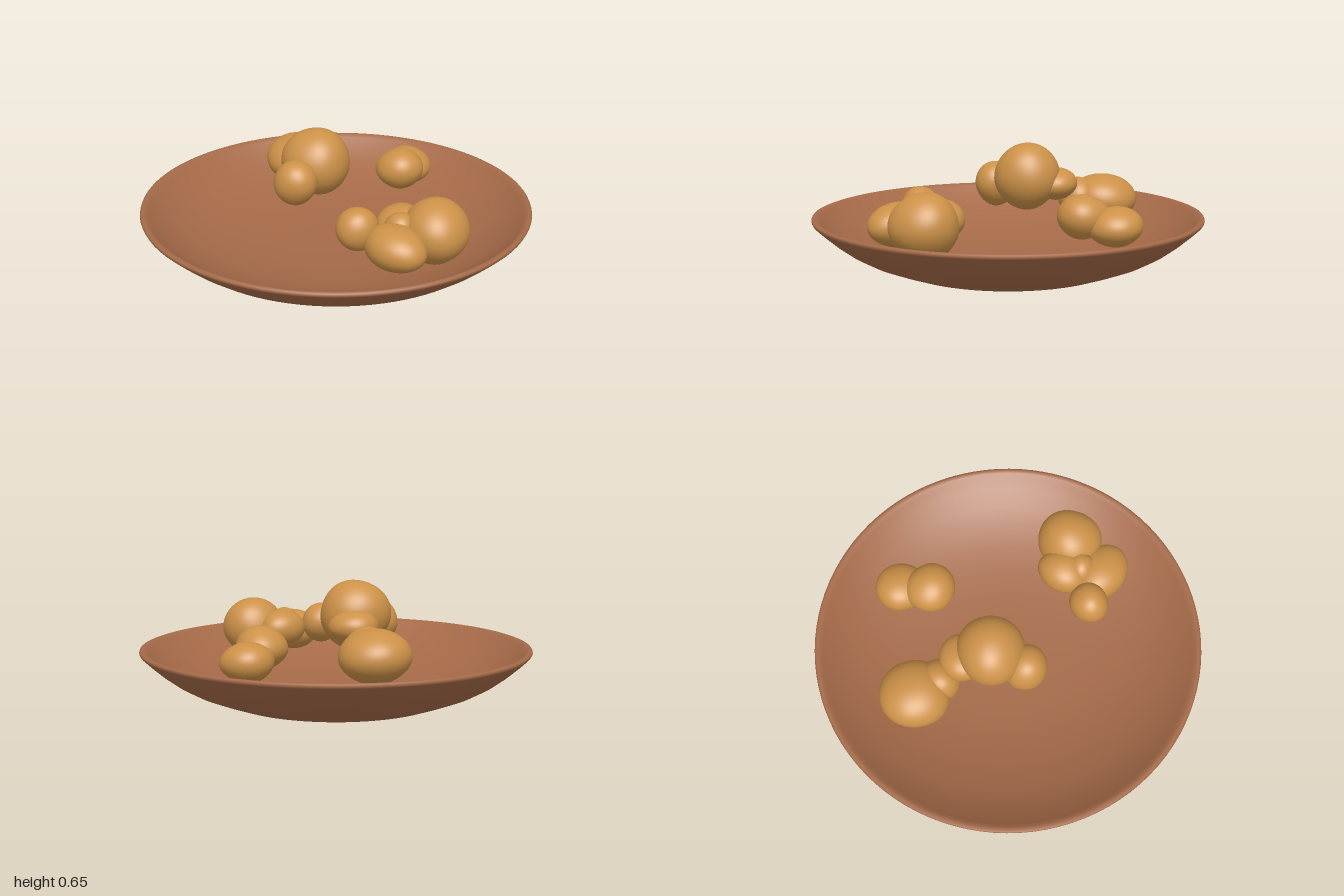
import * as THREE from 'three';
import { mergeVertices } from 'three/addons/utils/BufferGeometryUtils.js';

const clay = new THREE.MeshStandardMaterial({ color: 0xa56a48 });
clay.name = 'clay brown';
const gold = new THREE.MeshStandardMaterial({ color: 0xcc9148 });
gold.name = 'golden brown';

// Smooth round lump, gently uneven and narrower towards its underside
function lumpGeometry(rx, ry, rz, seed) {
  let g = new THREE.IcosahedronGeometry(1, 9);
  g.deleteAttribute('normal');
  g.deleteAttribute('uv');
  g = mergeVertices(g, 1e-4);
  const p = g.attributes.position;
  const v = new THREE.Vector3();
  for (let i = 0; i < p.count; i++) {
    v.fromBufferAttribute(p, i);
    const wave = 1 + 0.035 * Math.sin(2.3 * v.x + seed) * Math.cos(2.1 * v.z + seed * 1.7)
      + 0.025 * Math.sin(2.6 * v.y + 1.9 * v.x + seed * 2.3);
    const taper = v.y < 0 ? 1 - 0.14 * v.y * v.y : 1;
    p.setXYZ(i, v.x * wave * taper * rx, v.y * wave * ry, v.z * wave * taper * rz);
  }
  g.computeVertexNormals();
  return g;
}

export function createModel() {
  const model = new THREE.Group();
  model.name = 'dishOfLumps';

  // Shallow dish: outer wall, rounded rim, inner wall
  const outer = [[0, 0.004], [0.2, 0.004], [0.35, 0.007], [0.46, 0.014], [0.56, 0.036],
    [0.66, 0.072], [0.75, 0.108], [0.83, 0.152], [0.9, 0.203], [0.96, 0.255], [0.995, 0.288]];
  const rim = [[1, 0.298], [0.997, 0.307], [0.985, 0.311], [0.97, 0.306]];
  const inner = [[0.955, 0.294], [0.9, 0.249], [0.82, 0.2], [0.72, 0.157],
    [0.6, 0.12], [0.45, 0.093], [0.3, 0.08], [0.15, 0.075], [0, 0.074]];
  const profile = [...outer, ...rim, ...inner].map(([r, y]) => new THREE.Vector2(r, y));
  const dish = new THREE.Mesh(new THREE.LatheGeometry(profile, 96), clay);
  dish.name = 'dish';
  model.add(dish);

  // Piles of lumps: centre x, y, z and radii x, y, z
  const piles = {
    centrePile: [
      [-0.145, 0.485, 0, 0.175, 0.178, 0.172],
      [-0.11, 0.43, 0.18, 0.113, 0.12, 0.11],
      [-0.25, 0.44, -0.11, 0.122, 0.085, 0.118],
    ],
    sidePile: [
      [-0.51, 0.345, -0.22, 0.175, 0.135, 0.178],
      [-0.39, 0.35, -0.155, 0.105, 0.11, 0.11],
    ],
    backPile: [
      [-0.07, 0.305, -0.63, 0.135, 0.1, 0.13],
      [0, 0.35, -0.49, 0.132, 0.107, 0.13],
    ],
    oppositePile: [
      [0.635, 0.33, -0.035, 0.166, 0.162, 0.17],
      [0.47, 0.335, 0.03, 0.113, 0.11, 0.13],
      [0.53, 0.365, 0.1, 0.075, 0.075, 0.075],
      [0.585, 0.305, 0.195, 0.165, 0.115, 0.128],
      [0.39, 0.36, 0.242, 0.1, 0.11, 0.104],
    ],
  };

  let seed = 1;
  for (const [name, lumps] of Object.entries(piles)) {
    const pile = new THREE.Group();
    pile.name = name;
    lumps.forEach(([x, y, z, rx, ry, rz], i) => {
      const lump = new THREE.Mesh(lumpGeometry(rx, ry, rz, seed++), gold);
      lump.name = `lump${i + 1}`;
      lump.position.set(x, y, z);
      pile.add(lump);
    });
    model.add(pile);
  }
  return model;
}
